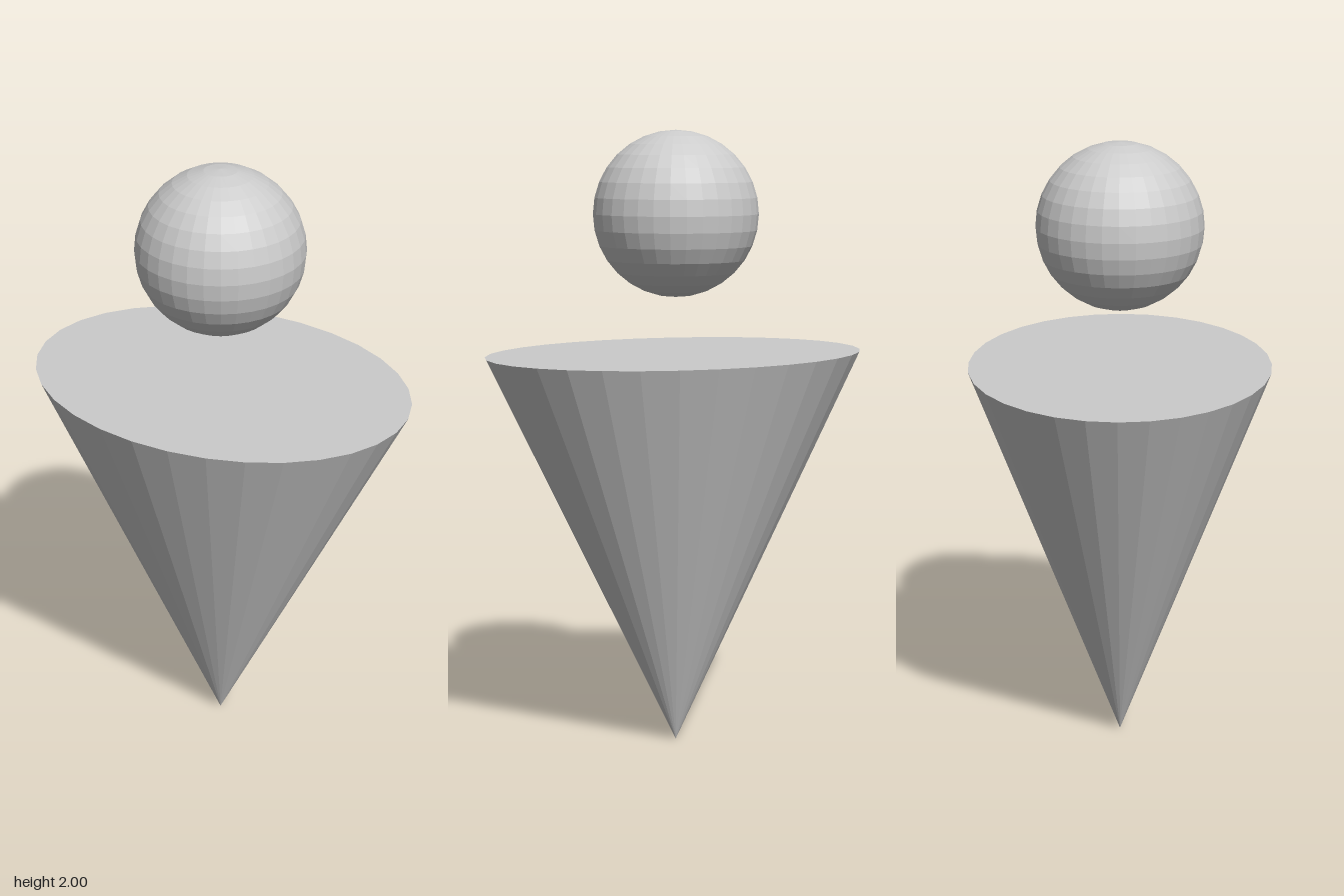
import * as THREE from 'three';

export function createModel() {
  const group = new THREE.Group();
  const material = new THREE.MeshStandardMaterial({ color: 0xcccccc, flatShading: true });

  const add = (name, geometry, y) => {
    const mesh = new THREE.Mesh(geometry, material);
    mesh.name = name;
    mesh.position.y = y;
    group.add(mesh);
  };

  // Body: faceted oval cone standing on its tip, with a flat closed top
  const height = 1.287, halfWidth = 0.64, halfDepth = 0.487;
  const cone = new THREE.CylinderGeometry(halfWidth, 0, height, 32);
  cone.scale(1, 1, halfDepth / halfWidth);
  add('body', cone, height / 2);

  // Head: faceted ball floating above the body
  const headRadius = 0.266;
  add('head', new THREE.SphereGeometry(headRadius, 32, 16), 2 - headRadius);

  return group;
}
